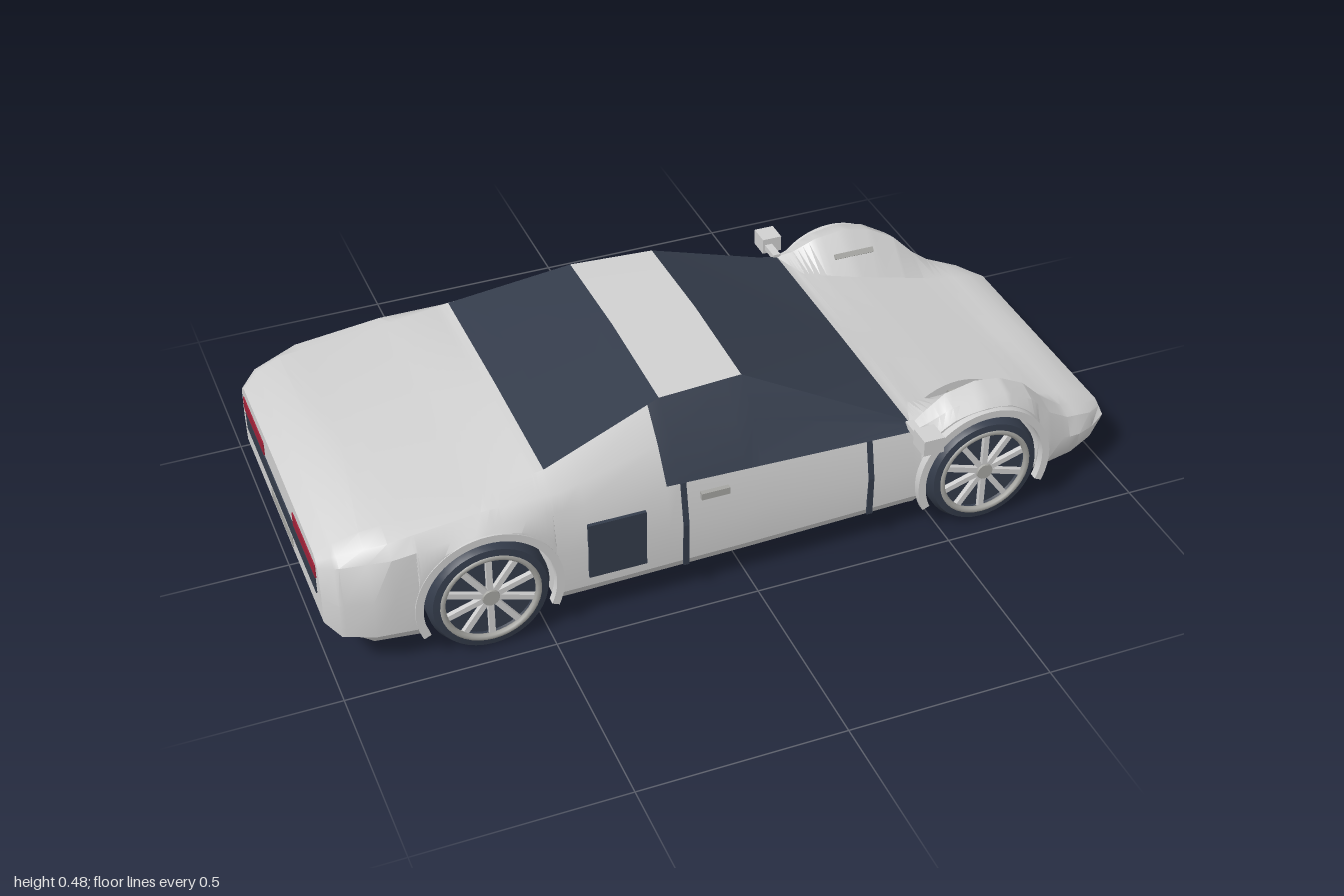
import * as THREE from 'three';
import { toCreasedNormals } from 'three/addons/utils/BufferGeometryUtils.js';

const mat = (name, color) => Object.assign(new THREE.MeshStandardMaterial({ color }), { name });

// Body lines as [x, z, y] keys, nose at +x
const BELT = [[-1, .36, .27], [-.96, .4, .29], [-.85, .435, .305], [-.635, .44, .33], [-.45, .43, .325], [-.2, .425, .315],
  [.43, .41, .285], [.47, .41, .3], [.53, .415, .33], [.61, .415, .342], [.68, .41, .33], [.75, .405, .29], [.81, .4, .23],
  [.87, .385, .19], [.95, .36, .165], [1, .32, .145]];
const SHOULDER = [[-1, .35, .285], [-.96, .38, .31], [-.85, .41, .335], [-.635, .41, .36], [-.45, .41, .36], [-.2, .37, .395],
  [.04, .36, .395], [.43, .395, .295], [.47, .38, .31], [.53, .37, .342], [.61, .365, .355], [.68, .36, .342], [.75, .355, .305],
  [.81, .35, .245], [.87, .345, .2], [.95, .33, .175], [1, .31, .15]];
const EDGE = [[-1, .33, .295], [-.96, .35, .323], [-.9, .36, .345], [-.635, .36, .37], [-.47, .36, .395], [-.17, .3, .472],
  [.04, .285, .472], [.43, .38, .298], [.47, .3, .288], [.61, .28, .258], [.75, .28, .222], [.85, .28, .195], [.95, .28, .178], [1, .3, .155]];
const CENTRE = [[-1, 0, .3], [-.96, 0, .328], [-.9, 0, .35], [-.635, 0, .378], [-.47, 0, .4], [-.17, 0, .482], [.04, 0, .482],
  [.43, 0, .3], [.61, 0, .258], [.85, 0, .195], [.95, 0, .18], [1, 0, .155]];
// Widest side line, with the height of the floor as y
const SIDE = [[-1, .37, .12], [-.97, .41, .1], [-.9, .44, .068], [-.8, .45, .065], [-.4, .449, .065], [0, .442, .065],
  [.43, .43, .065], [.61, .44, .065], [.8, .422, .065], [.9, .4, .065], [.95, .375, .085], [1, .34, .12]];
const AXLES = [-.635, .61], AXLE_Y = .145, ARCH_R = .16;

function at(keys, x) {
  let i = 1;
  while (i < keys.length - 1 && keys[i][0] < x) i++;
  const [a, b] = [keys[i - 1], keys[i]];
  const t = (x - a[0]) / (b[0] - a[0]);
  return [a[1] + (b[1] - a[1]) * t, a[2] + (b[2] - a[2]) * t];
}

// Half cross-section from the floor centre, round the wheel well, to the roof centre
function section(x) {
  const [w, floor] = at(SIDE, x);
  let arch = floor;
  for (const cx of AXLES) {
    const d = Math.abs(x - cx);
    if (d <= ARCH_R + 1e-6) arch = AXLE_Y + Math.sqrt(Math.max(0, ARCH_R ** 2 - d * d));
  }
  const tuck = .03 * Math.max(0, 1 - (arch - floor) / .05);
  const sill = Math.max(Math.min(.1, floor + .035), arch);
  const belt = at(BELT, x);
  return [[0, floor], [.29, floor], [.29, arch], [w - tuck, arch], [w - tuck * .15, sill],
    [w, sill + (belt[1] - sill) * .5], belt, at(SHOULDER, x), at(EDGE, x), at(CENTRE, x)]
    .map(([z, y]) => new THREE.Vector3(x, y, z));
}

function buildShell() {
  const xs = [BELT, SHOULDER, EDGE, CENTRE, SIDE].flat().map(k => k[0]);
  for (const cx of AXLES) {
    for (let i = 0; i <= 24; i++) xs.push(cx - ARCH_R * Math.cos(Math.PI * i / 24));
    xs.push(cx - ARCH_R - .001, cx + ARCH_R + .001);
  }
  const stations = [...new Set(xs.map(x => +x.toFixed(5)))].sort((a, b) => a - b);
  const rings = stations.map(section);
  const body = [], glass = [];
  const quad = (out, a, b, c, d, flip) => {
    for (const t of flip ? [[a, c, b], [a, d, c]] : [[a, b, c], [a, c, d]]) t.forEach(p => out.push(p.x, p.y, p.z));
  };
  const mirror = p => new THREE.Vector3(p.x, p.y, -p.z);
  for (let k = 0; k < rings.length - 1; k++) {
    const x = (stations[k] + stations[k + 1]) / 2, A = rings[k], B = rings[k + 1];
    for (let i = 0; i < A.length - 1; i++) {
      const sideGlass = (i === 6 || i === 7) && x > -.2 && x < .43;
      const screens = i === 8 && ((x > .04 && x < .43) || (x > -.47 && x < -.17));
      const out = sideGlass || screens ? glass : body;
      const q = [A[i], B[i], B[i + 1], A[i + 1]];
      quad(out, ...q, false);
      quad(out, ...q.map(mirror), true);
    }
  }
  // Nose and tail caps
  [rings[0], rings[rings.length - 1]].forEach((r, end) => {
    for (let i = 0; i < r.length - 1; i++) quad(body, r[i], mirror(r[i]), mirror(r[i + 1]), r[i + 1], end === 0);
  });
  return [body, glass].map(list => {
    const g = new THREE.BufferGeometry();
    g.setAttribute('position', new THREE.Float32BufferAttribute(list, 3));
    return toCreasedNormals(g, .55);
  });
}

export function createModel() {
  const car = new THREE.Group();
  car.name = 'sportsCar';
  const paint = mat('silverPaint', 0xd0d0d0), dark = mat('darkGlassAndRubber', 0x343c4b);
  const alloy = mat('alloy', 0xa6a6a2), red = mat('redLamp', 0xa02238);
  const add = (parent, name, geo, material, x = 0, y = 0, z = 0) => {
    const m = new THREE.Mesh(geo, material);
    m.name = name;
    m.position.set(x, y, z);
    parent.add(m);
    return m;
  };
  const box = (parent, name, material, sx, sy, sz, x, y, z) =>
    add(parent, name, new THREE.BoxGeometry(sx, sy, sz), material, x, y, z);

  const [body, glass] = buildShell();
  add(car, 'body', body, paint);
  add(car, 'windows', glass, dark);

  // Wheels
  const tyre = toCreasedNormals(new THREE.LatheGeometry([[0, -.066], [.115, -.066], [.136, -.064], [.145, -.045], [.145, .045],
    [.136, .064], [.118, .067], [.112, .045], [0, .045]].map(p => new THREE.Vector2(...p)), 40).rotateX(Math.PI / 2), .6);
  const rim = new THREE.TorusGeometry(.114, .008, 8, 40);
  const hub = new THREE.CylinderGeometry(.02, .024, .02, 16).rotateX(Math.PI / 2);
  const spoke = new THREE.BoxGeometry(.014, .1, .012).translate(0, .062, 0);
  // Raised lip round each wheel opening
  const lipShape = new THREE.Shape();
  lipShape.absarc(0, 0, .176, -.42, Math.PI + .42, false);
  lipShape.absarc(0, 0, .157, Math.PI + .42, -.42, true);
  const lip = toCreasedNormals(new THREE.ExtrudeGeometry(lipShape, { depth: .02, bevelEnabled: false, curveSegments: 28 }), .5);

  for (const side of [1, -1]) {
    const half = new THREE.Group();
    half.name = side > 0 ? 'leftSide' : 'rightSide';
    car.add(half);
    for (const cx of AXLES) {
      const wheel = new THREE.Group();
      wheel.name = cx > 0 ? 'frontWheel' : 'rearWheel';
      wheel.position.set(cx, AXLE_Y, side * .388);
      if (side < 0) wheel.rotation.y = Math.PI;
      half.add(wheel);
      add(wheel, 'tyre', tyre, dark);
      add(wheel, 'rim', rim, alloy, 0, 0, .062);
      add(wheel, 'hub', hub, alloy, 0, 0, .057);
      for (let i = 0; i < 10; i++) add(wheel, 'spoke', spoke, paint, 0, 0, .056).rotation.z = i * Math.PI / 5;
      add(half, 'archLip', lip, paint, cx, AXLE_Y, side > 0 ? .432 : -.452);
    }

    // Door gaps, handle and side intake
    for (const x of [-.16, .315]) {
      const lower = at(SIDE, x)[0], upper = at(BELT, x);
      const midY = (.1 + upper[1]) / 2;
      box(half, 'doorGap', dark, .014, midY - .09, .006, x, (midY + .09) / 2, side * lower);
      const top = box(half, 'doorGap', dark, .014, upper[1] - midY + .004, .006, x, (midY + upper[1]) / 2, side * (lower + upper[0]) / 2);
      top.rotation.x = -side * Math.atan2(lower - upper[0], upper[1] - midY);
    }
    box(half, 'doorHandle', alloy, .07, .018, .012, -.085, .272, side * .435);
    box(half, 'sideIntake', dark, .14, .15, .009, -.33, .205, side * .449);

    // Door mirror
    box(half, 'mirrorArm', paint, .02, .015, .07, .43, .297, side * .425);
    box(half, 'mirror', paint, .052, .042, .056, .44, .3, side * .472);

    // Slot on the inner face of the front fender
    const slope = [at(SHOULDER, .62), at(EDGE, .62)];
    const slot = box(half, 'fenderSlot', alloy, .11, .008, .014, .62,
      (slope[0][1] + slope[1][1]) / 2, side * (slope[0][0] + slope[1][0]) / 2);
    slot.rotation.x = -side * Math.atan2(slope[0][1] - slope[1][1], slope[0][0] - slope[1][0]);

    // Nose intake and tail lamp
    box(half, 'tailLamp', red, .008, .036, .2, -.999, .248, side * .24);
  }

  // Tapered nose intakes
  const intake = w => new THREE.ExtrudeGeometry(new THREE.Shape([[-w, 0], [-w + .02, -.01], [w - .02, -.01], [w, 0], [w - .02, .01], [-w + .02, .01]]
    .map(p => new THREE.Vector2(...p))), { depth: .006, bevelEnabled: false }).rotateY(Math.PI / 2);
  for (const [z, w] of [[0, .118], [.235, .066], [-.235, .066]]) add(car, 'noseIntake', intake(w), dark, .997, .135, z);

  // Tail grille and lower plate
  box(car, 'tailGrille', dark, .008, .046, .66, -.999, .202, 0);
  box(car, 'tailPlate', alloy, .006, .028, .2, -.999, .148, 0);
  return car;
}
